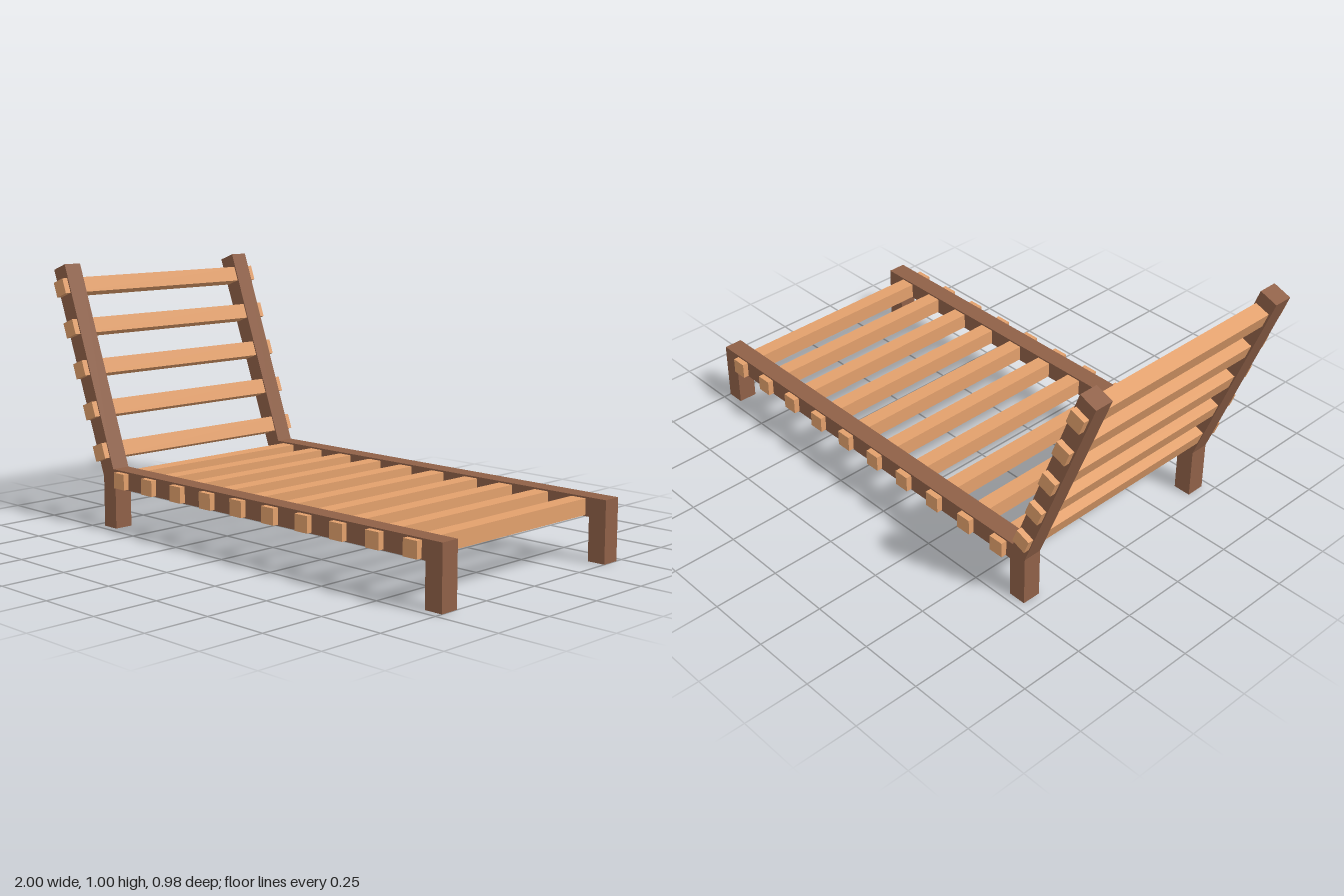
import * as THREE from 'three';

const frameMaterial = new THREE.MeshStandardMaterial({ color: 0x8f6047 });
const slatMaterial = new THREE.MeshStandardMaterial({ color: 0xe2a06c });

const FRAME_Z = 0.433;     // centre of each side frame
const FRAME_DEPTH = 0.073;
const RECLINE = 0.351;     // backrest tilt from vertical, radians

// One side: two legs, seat rail and leaning back post in a single outline
function makeSideFrame(name, z) {
  const outline = [
    [-0.71, 0], [-0.64, 0], [-0.64, 0.16], [0.93, 0.16], [0.93, 0], [1, 0],
    [1, 0.23], [-0.652, 0.23], [-0.931, 0.996], [-1, 0.971], [-0.71, 0.195],
  ];
  const shape = new THREE.Shape(outline.map(([x, y]) => new THREE.Vector2(x, y)));
  const geometry = new THREE.ExtrudeGeometry(shape, { depth: FRAME_DEPTH, bevelEnabled: false });
  geometry.translate(0, 0, -FRAME_DEPTH / 2);
  const mesh = new THREE.Mesh(geometry, frameMaterial);
  mesh.name = name;
  mesh.position.z = z;
  return mesh;
}

export function createModel() {
  const model = new THREE.Group();
  model.name = 'slattedLounger';

  model.add(makeSideFrame('leftSideFrame', -FRAME_Z), makeSideFrame('rightSideFrame', FRAME_Z));
  model.children[0].name = 'backSideFrame';
  model.children[1].name = 'frontSideFrame';

  // Square slats pass through both frames and stick out a little
  const slatGeometry = new THREE.BoxGeometry(0.06, 0.06, 0.984);
  const addSlat = (parent, name, x, y, tilt) => {
    const slat = new THREE.Mesh(slatGeometry, slatMaterial);
    slat.name = name;
    slat.position.set(x, y, 0);
    slat.rotation.z = tilt;
    parent.add(slat);
  };

  const seat = new THREE.Group();
  seat.name = 'seatSlats';
  for (let i = 0; i < 10; i++) addSlat(seat, `seatSlat${i + 1}`, -0.59 + i * 0.1638, 0.194, 0);

  const backrest = new THREE.Group();
  backrest.name = 'backrestSlats';
  for (let i = 0; i < 5; i++) {
    addSlat(backrest, `backrestSlat${i + 1}`, -0.71 - i * 0.0563, 0.29 + i * 0.1538, RECLINE);
  }

  model.add(seat, backrest);
  return model;
}
